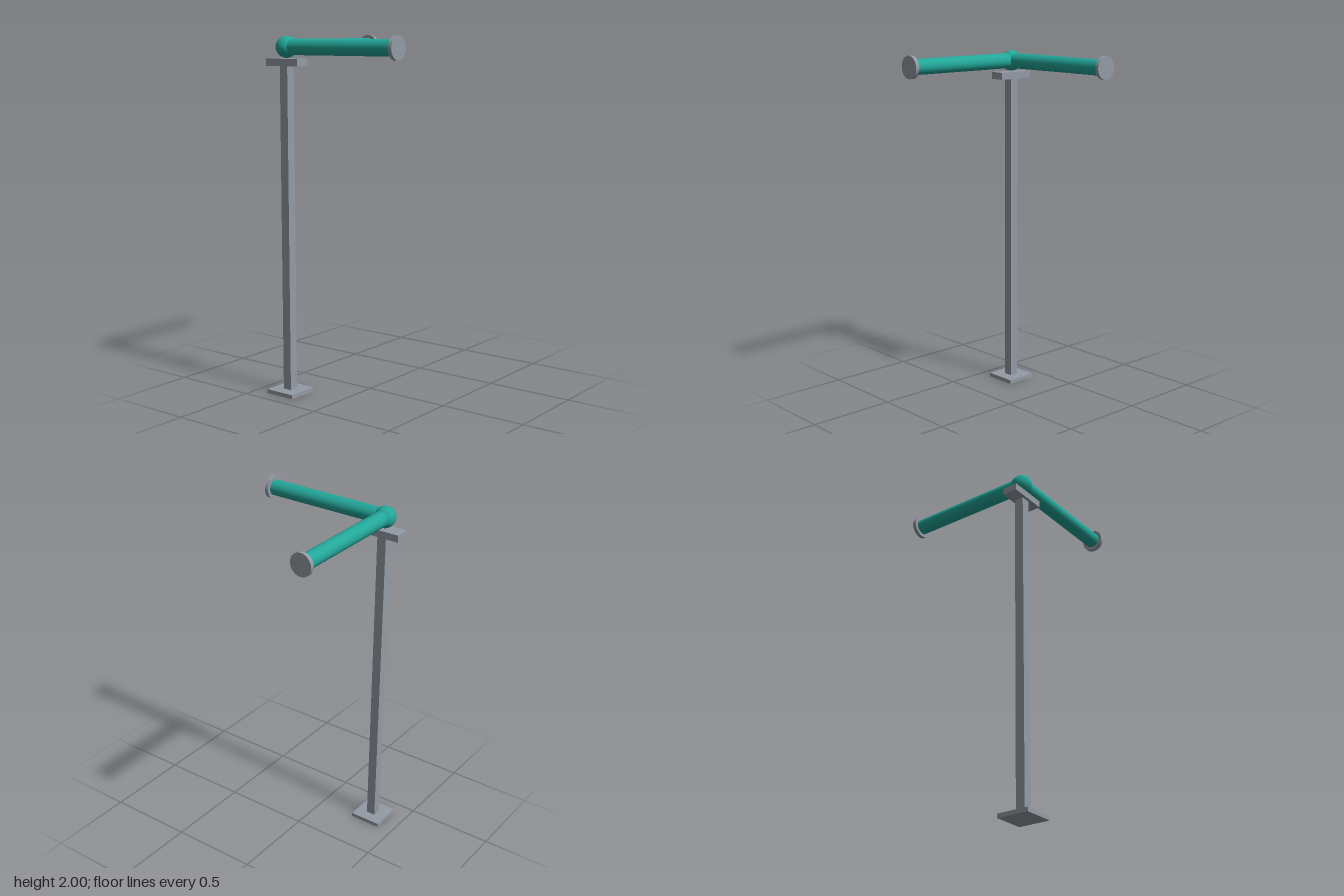
import * as THREE from 'three';

export function createModel() {
  const steel = new THREE.MeshStandardMaterial({ color: 0x949ba5 });
  steel.name = 'grey steel';
  const teal = new THREE.MeshStandardMaterial({ color: 0x22a799 });
  teal.name = 'teal paint';

  const model = new THREE.Group();
  model.name = 'pipeCornerOnPost';

  const X = -0.327, Z = -0.319, PIPE_Y = 1.937;

  function add(parent, name, geometry, material, x, y, z) {
    const mesh = new THREE.Mesh(geometry, material);
    mesh.name = name;
    mesh.position.set(x, y, z);
    parent.add(mesh);
    return mesh;
  }

  // Support: base plate, square post and the saddle plate on top
  const block = (name, w, d, y0, y1) =>
    add(model, name, new THREE.BoxGeometry(w, y1 - y0, d), steel, X, (y0 + y1) / 2, Z);
  block('basePlate', 0.183, 0.183, 0, 0.023);
  block('post', 0.053, 0.053, 0.023, 1.834);
  block('saddlePlate', 0.086, 0.222, 1.834, 1.874);

  // Ball elbow joining the two pipes
  add(model, 'elbowBall', new THREE.SphereGeometry(0.059, 40, 24), teal, X, PIPE_Y, Z);

  // A pipe along +z from the elbow, closed by a flange disc
  function pipeRun(name, length) {
    const run = new THREE.Group();
    run.name = name;
    run.position.set(X, PIPE_Y, Z);
    const pipeLength = length - 0.01;
    const pipe = new THREE.CylinderGeometry(0.0435, 0.0435, pipeLength, 40).rotateX(Math.PI / 2);
    add(run, 'pipe', pipe, teal, 0, 0, pipeLength / 2);
    const flange = new THREE.CylinderGeometry(0.063, 0.063, 0.021, 48).rotateX(Math.PI / 2);
    add(run, 'endFlange', flange, steel, 0, 0, length - 0.0105);
    model.add(run);
    return run;
  }
  pipeRun('frontPipe', 0.747);
  pipeRun('sidePipe', 0.745).rotation.y = Math.PI / 2;

  return model;
}
